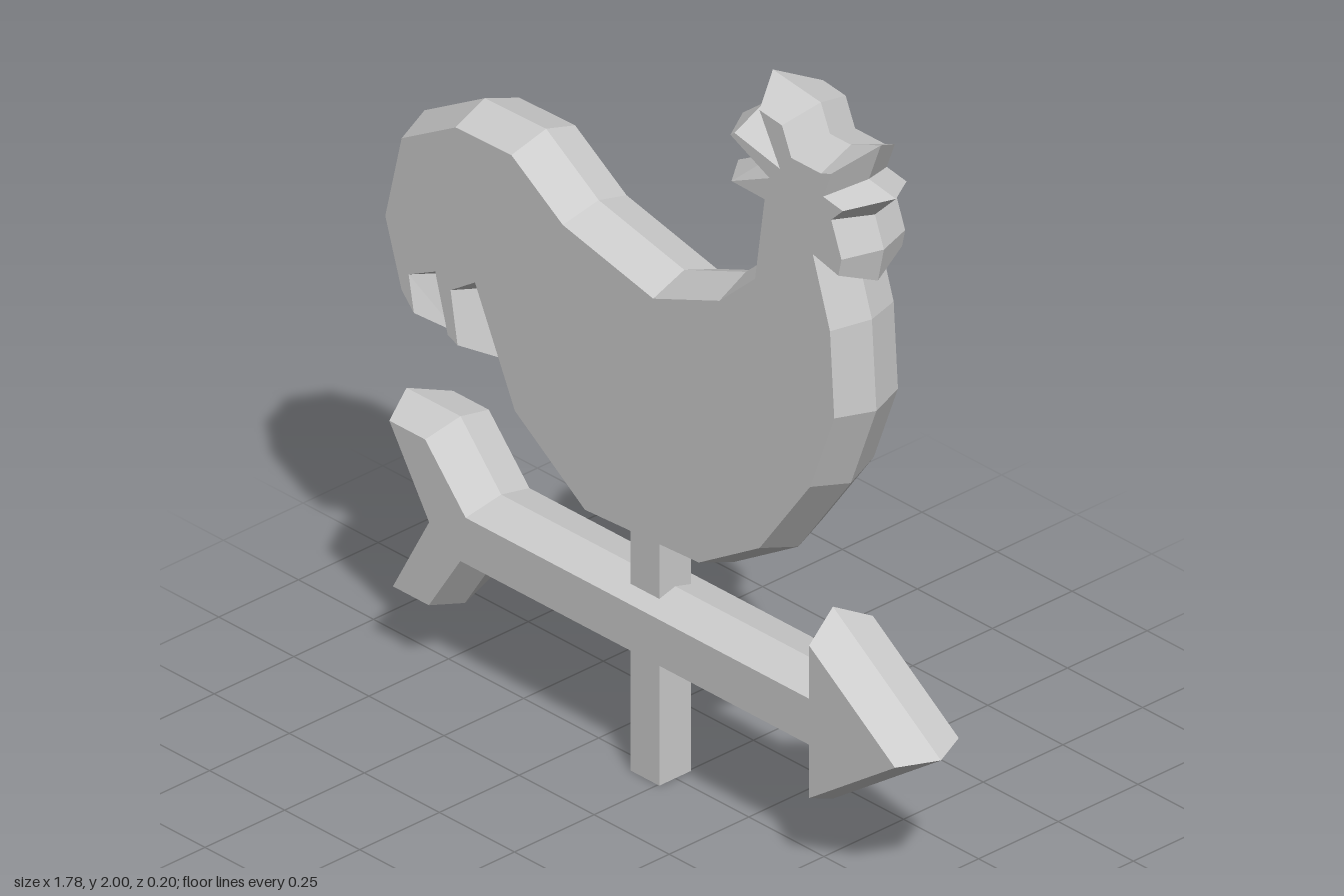
import * as THREE from 'three';

const HALF_DEPTH = 0.1;
const grey = new THREE.MeshStandardMaterial({ color: 0xcccccc, flatShading: true });

// Outlines in hundredths of a unit, clockwise seen from the front
const bird = [
  // comb
  [33, 200], [49, 198], [52, 191], [59, 191], [69, 195], [65, 184.5], [74, 183], [67, 176],
  // wattle, breast and belly
  [70, 168], [68, 159], [62, 160.5], [66, 148], [67.5, 124.5], [59, 102], [41.5, 78], [20, 65], [-20, 63], [-45, 80.5],
  // tail feathers
  [-57, 106], [-60, 104], [-57, 86.5], [-67.5, 91], [-71, 103.5], [-74, 102], [-72, 87], [-83, 97], [-89, 116],
  // tail top, back and neck
  [-83, 141], [-63, 152.5], [-42.5, 153], [-25, 141.5], [3.5, 135], [24, 143], [34.5, 152.5],
  // beak side
  [37, 170], [21.5, 171.5], [35, 179], [23, 184.5], [30, 190], [39.5, 188],
];

const arrow = [
  [-89, 65.5], [-71, 65.5], [-57.5, 50.5], [53, 50.5], [53, 67], [89, 41.5],
  [53, 16.5], [53, 33], [-59, 33], [-69.5, 17], [-87.5, 17], [-74, 41.5],
];

// Mitred inset of a counter-clockwise outline, with a limit at sharp tips
function inset(points, distance, limit = 2.5) {
  const n = points.length;
  const normal = (a, b) => new THREE.Vector2(a.y - b.y, b.x - a.x).normalize();
  return points.map((p, i) => {
    const n1 = normal(points[(i + n - 1) % n], p);
    const n2 = normal(p, points[(i + 1) % n]);
    const miter = n1.clone().add(n2).divideScalar(1 + n1.dot(n2)).clampLength(0, limit);
    return p.clone().addScaledVector(miter, distance);
  });
}

// Plate with its widest outline in the middle plane and smaller faces front and back
function ridgedPlate(name, outline, bevel) {
  const outer = outline.map(([x, y]) => new THREE.Vector2(x / 100, y / 100)).reverse();
  const inner = inset(outer, bevel);
  const positions = [];
  const put = (p, z) => positions.push(p.x, p.y, z);
  const triangle = (...corners) => corners.forEach(([p, z]) => put(p, z));

  // flat faces
  for (const [a, b, c] of THREE.ShapeUtils.triangulateShape(inner, [])) {
    triangle([inner[a], HALF_DEPTH], [inner[b], HALF_DEPTH], [inner[c], HALF_DEPTH]);
    triangle([inner[c], -HALF_DEPTH], [inner[b], -HALF_DEPTH], [inner[a], -HALF_DEPTH]);
  }
  // sloping rims
  outer.forEach((o, i) => {
    const j = (i + 1) % outer.length;
    const [o2, f, f2] = [outer[j], inner[i], inner[j]];
    triangle([o, 0], [o2, 0], [f2, HALF_DEPTH]);
    triangle([o, 0], [f2, HALF_DEPTH], [f, HALF_DEPTH]);
    triangle([o2, 0], [o, 0], [f2, -HALF_DEPTH]);
    triangle([f2, -HALF_DEPTH], [o, 0], [f, -HALF_DEPTH]);
  });

  const geometry = new THREE.BufferGeometry();
  geometry.setAttribute('position', new THREE.Float32BufferAttribute(positions, 3));
  geometry.computeVertexNormals();
  const mesh = new THREE.Mesh(geometry, grey);
  mesh.name = name;
  return mesh;
}

export function createModel() {
  const model = new THREE.Group();
  model.name = 'weatherVane';

  model.add(ridgedPlate('rooster', bird, 0.034));
  model.add(ridgedPlate('arrow', arrow, 0.027));

  // post through the arrow into the belly
  const post = new THREE.Mesh(new THREE.BoxGeometry(0.096, 0.68, 0.1), grey);
  post.name = 'post';
  post.position.set(-0.043, 0.34, 0);
  model.add(post);

  return model;
}
